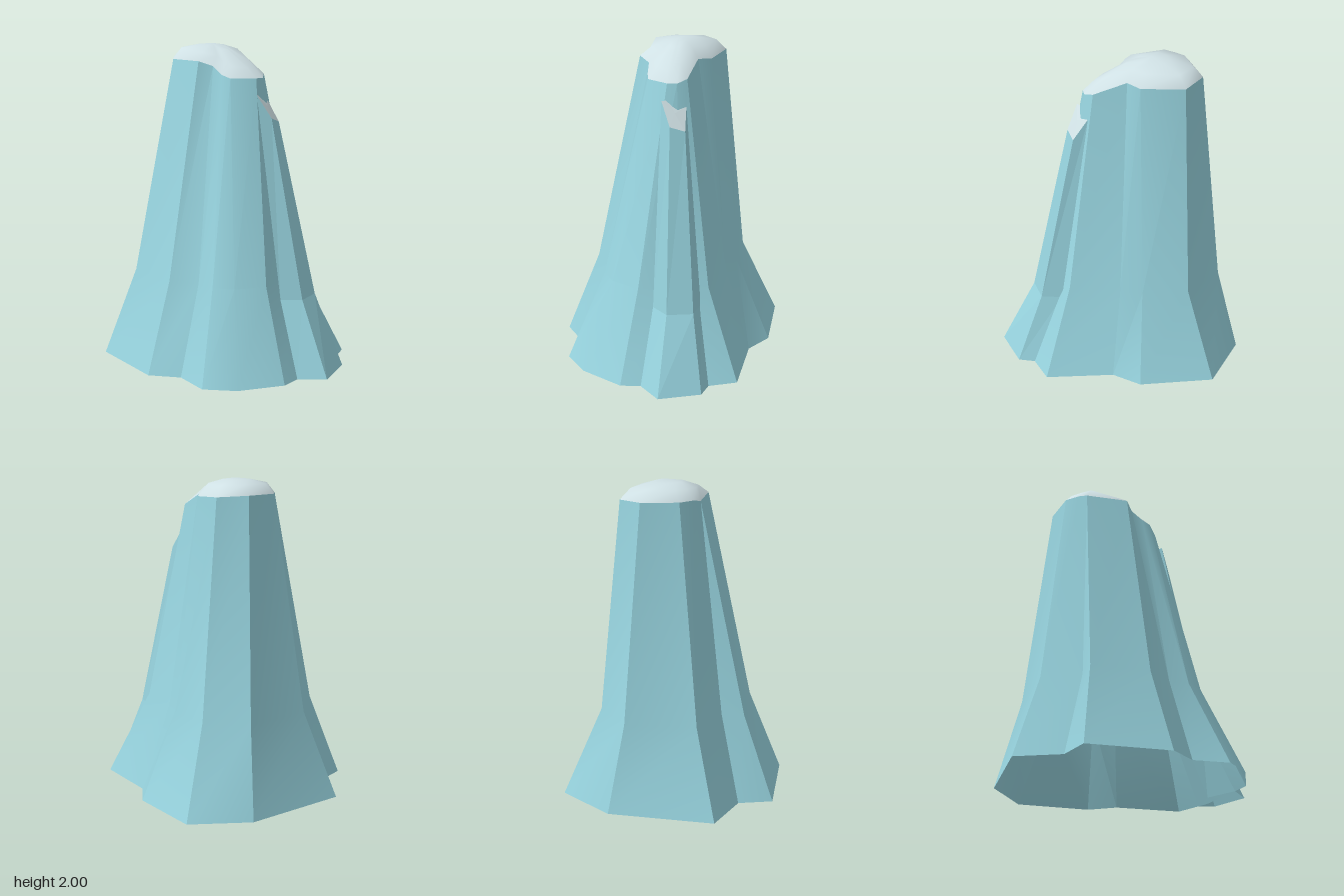
import * as THREE from 'three';
import { toCreasedNormals } from 'three/addons/utils/BufferGeometryUtils.js';

const stone = new THREE.MeshStandardMaterial({ color: 0x96d2dd, side: THREE.DoubleSide });
stone.name = 'blue stone';
const pale = new THREE.MeshStandardMaterial({ color: 0xcfe0e4, side: THREE.DoubleSide });
pale.name = 'pale summit';

// Skins a stack of rings (lowest first); an optional peak point closes the top.
function skin(name, rings, material, crease, peak) {
  const pos = [];
  const n = rings[0].length;
  for (let i = 0; i < n; i++) {
    const j = (i + 1) % n;
    for (let k = 0; k + 1 < rings.length; k++) {
      const lo = rings[k], up = rings[k + 1];
      pos.push(...lo[i], ...up[i], ...lo[j], ...lo[j], ...up[i], ...up[j]);
    }
    const top = rings[rings.length - 1];
    if (peak) pos.push(...top[i], ...peak, ...top[j]);
  }
  let geo = new THREE.BufferGeometry();
  geo.setAttribute('position', new THREE.Float32BufferAttribute(pos, 3));
  geo.computeVertexNormals();
  if (crease) geo = toCreasedNormals(geo, crease);
  const mesh = new THREE.Mesh(geo, material);
  mesh.name = name;
  return mesh;
}

const level = (pts, y) => pts.map(([x, z]) => [x, y, z]);

export function createModel() {
  const group = new THREE.Group();
  group.name = 'rockSpire';

  // Main spire: fluted foot, waist and rim, ordered back -> left -> front -> right
  const foot = level([
    [-0.15, -0.76], [0.25, -0.78], [0.53, -0.40], [0.54, -0.20], [0.78, 0.16],
    [0.65, 0.39], [0.32, 0.72], [0.03, 0.78], [-0.18, 0.74], [-0.30, 0.55],
    [-0.50, 0.50], [-0.78, 0.08], [-0.64, -0.09], [-0.70, -0.38],
  ], 0);
  const waist = level([
    [-0.14, -0.60], [0.15, -0.53], [0.32, -0.29], [0.36, -0.15], [0.50, 0.145],
    [0.42, 0.29], [0.23, 0.49], [0.03, 0.53], [-0.10, 0.49], [-0.18, 0.39],
    [-0.36, 0.33], [-0.57, 0.03], [-0.46, -0.06], [-0.49, -0.32],
  ], 0.55);
  const rim = [
    [-0.13, 1.91, -0.435], [0.06, 1.90, -0.42], [0.17, 1.89, -0.18], [0.155, 1.90, -0.08],
    [0.25, 1.82, 0.10], [0.235, 1.80, 0.17], [0.19, 1.80, 0.21], [0.03, 1.80, 0.22],
    [-0.02, 1.82, 0.18], [-0.07, 1.87, 0.125], [-0.16, 1.90, 0.12], [-0.31, 1.90, -0.11],
    [-0.305, 1.91, -0.17], [-0.29, 1.91, -0.27],
  ];
  group.add(skin('spireBody', [foot, waist, rim], stone, 0.5));

  // Rounded summit sitting on the rim
  const shoulder = [
    [-0.11, 1.97, -0.38], [0.03, 1.965, -0.36], [0.11, 1.96, -0.18], [0.10, 1.965, -0.08],
    [0.16, 1.90, 0.08], [0.15, 1.87, 0.13], [0.14, 1.86, 0.16], [0.04, 1.87, 0.155],
    [0.00, 1.89, 0.12], [-0.04, 1.93, 0.06], [-0.13, 1.95, 0.06], [-0.26, 1.97, -0.10],
    [-0.255, 1.97, -0.17], [-0.24, 1.97, -0.25],
  ];
  const peak = [-0.06, 2.0, -0.12];
  const crown = shoulder.map(([x, y, z]) => [
    THREE.MathUtils.lerp(x, peak[0], 0.55),
    THREE.MathUtils.lerp(y, peak[1], 0.75),
    THREE.MathUtils.lerp(z, peak[2], 0.55),
  ]);
  group.add(skin('summit', [rim, shoulder, crown], pale, 1.2, peak));

  // Slender buttress leaning on the front left
  const buttressFoot = level([[0.69, 0.32], [0.73, 0.42], [0.59, 0.65], [0.41, 0.63], [0.50, 0.43]], 0);
  const buttressWaist = level([[0.50, 0.21], [0.56, 0.33], [0.46, 0.46], [0.325, 0.45], [0.36, 0.29]], 0.45);
  const buttressRim = [
    [0.27, 1.66, 0.125], [0.335, 1.53, 0.195], [0.28, 1.56, 0.27], [0.19, 1.70, 0.255], [0.205, 1.70, 0.21],
  ];
  group.add(skin('buttress', [buttressFoot, buttressWaist, buttressRim], stone));
  group.add(skin('buttressTop', [buttressRim], pale, 0, [0.26, 1.63, 0.21]));

  return group;
}
